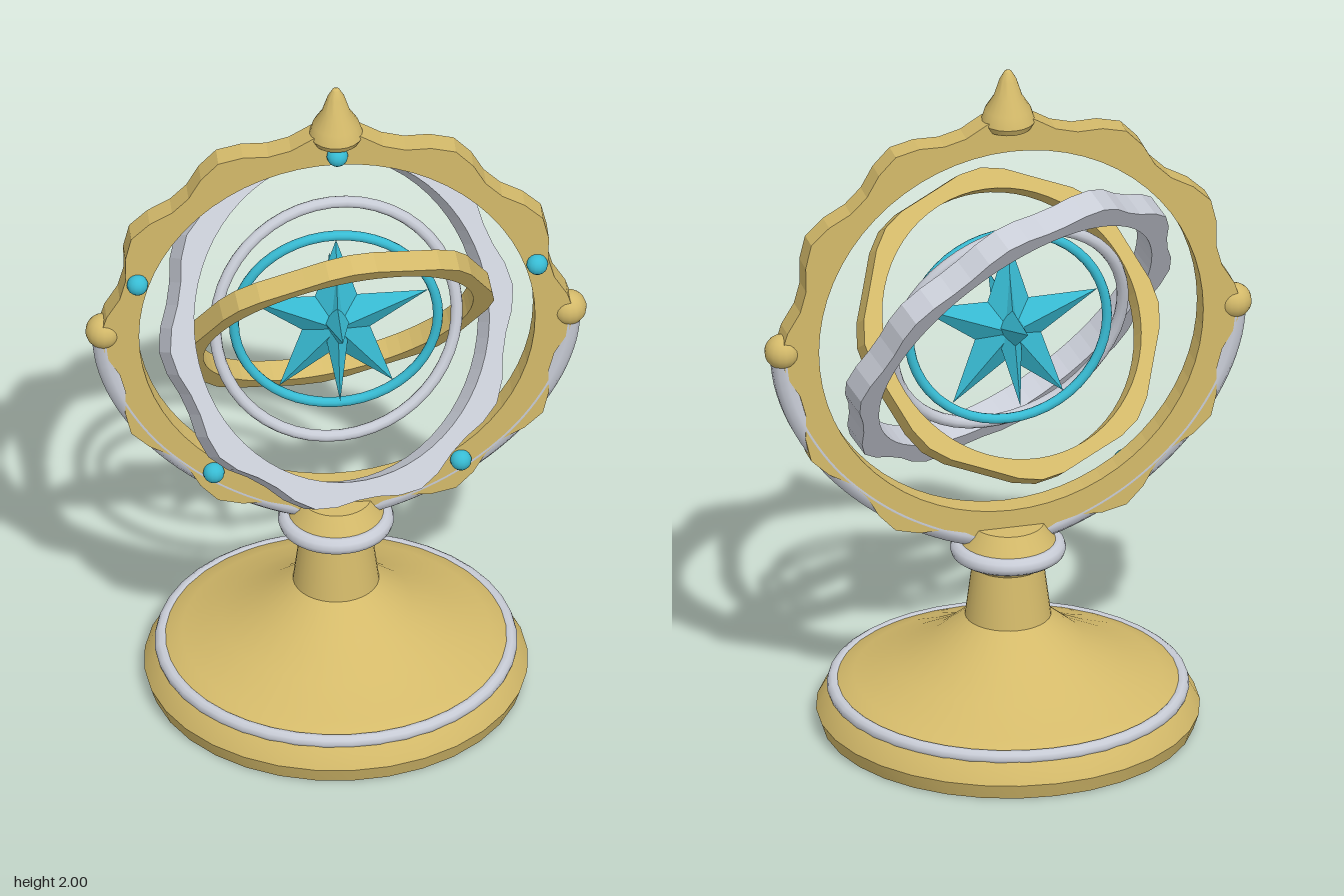
import * as THREE from 'three';
import { toCreasedNormals } from 'three/addons/utils/BufferGeometryUtils.js';

const CENTER = 1.21; // height of the ring centre

export function createModel() {
  const model = new THREE.Group();
  model.name = 'armillarySphere';

  const material = (name, color) => {
    const m = new THREE.MeshStandardMaterial({ color });
    m.name = name;
    return m;
  };
  const gold = material('gold', 0xd4ba6a);
  const silver = material('silver', 0xc8ccd6);
  const cyan = material('cyan', 0x38bcd4);

  const add = (name, geometry, mat, x = 0, y = 0, z = 0) => {
    const mesh = new THREE.Mesh(geometry, mat);
    mesh.name = name;
    mesh.position.set(x, y, z);
    model.add(mesh);
    return mesh;
  };
  const lathe = (points, segments) => toCreasedNormals(
    new THREE.LatheGeometry(points.map(([r, y]) => new THREE.Vector2(r, y)), segments), 0.6);
  const face = (mesh, x, y, z) => mesh.quaternion.setFromUnitVectors(
    new THREE.Vector3(0, 0, 1), new THREE.Vector3(x, y, z).normalize());

  // Flat band with a wavy rim and a round hole, centred on its own plane
  const wavyRing = (radius, wave, bumps, hole, depth) => {
    const rim = [];
    const steps = bumps * 5;
    for (let i = 0; i < steps; i++) {
      const a = (i / steps) * Math.PI * 2;
      const r = radius + wave * Math.cos(bumps * a);
      rim.push(new THREE.Vector2(r * Math.cos(a), r * Math.sin(a)));
    }
    const shape = new THREE.Shape(rim);
    shape.holes.push(new THREE.Path().absarc(0, 0, hole, 0, Math.PI * 2, true));
    return new THREE.ExtrudeGeometry(shape, { depth, bevelEnabled: false, curveSegments: 32 })
      .translate(0, 0, -depth / 2);
  };

  // Faceted star: raised centre on both sides
  const starGeometry = (outer, inner, thick) => {
    const corner = (i) => {
      const a = Math.PI / 2 + (i * Math.PI) / 5;
      const r = i % 2 ? inner : outer;
      return [r * Math.cos(a), r * Math.sin(a), 0];
    };
    const positions = [];
    for (let i = 0; i < 10; i++) {
      positions.push(0, 0, thick, ...corner(i), ...corner(i + 1));
      positions.push(0, 0, -thick, ...corner(i + 1), ...corner(i));
    }
    const g = new THREE.BufferGeometry();
    g.setAttribute('position', new THREE.Float32BufferAttribute(positions, 3));
    g.computeVertexNormals();
    return g;
  };

  // Pedestal and its trim
  add('pedestal', lathe([
    [0, 0], [0.52, 0], [0.535, 0.045], [0.505, 0.1], [0.48, 0.125], [0.43, 0.14], [0.32, 0.19],
    [0.21, 0.25], [0.12, 0.325], [0.1, 0.48], [0.12, 0.51], [0.135, 0.55], [0.1, 0.605], [0, 0.605],
  ], 32), gold);
  const trim = (name, radius, tube, y) => {
    add(name, new THREE.TorusGeometry(radius, tube, 10, 40), silver, 0, y).rotation.x = Math.PI / 2;
  };
  trim('baseTrim', 0.485, 0.02, 0.11);
  trim('neckTrim', 0.137, 0.025, 0.53);

  // Upright frame ring and finial
  add('frameRing', wavyRing(0.64, 0.024, 12, 0.553, 0.07), gold, 0, CENTER);
  add('finial', lathe([
    [0, 1.825], [0.065, 1.825], [0.076, 1.845], [0.065, 1.88],
    [0.04, 1.92], [0.024, 1.97], [0.01, 1.995], [0, 2],
  ], 20), gold);

  // Support arms and pivot balls, mirrored
  for (const s of [1, -1]) {
    const path = new THREE.CatmullRomCurve3(
      [[0.03, 0.57], [0.15, 0.6], [0.33, 0.69], [0.49, 0.83], [0.59, 0.98], [0.635, 1.1], [0.65, 1.2]]
        .map(([x, y]) => new THREE.Vector3(s * x, y, 0)));
    add(s > 0 ? 'leftArm' : 'rightArm', new THREE.TubeGeometry(path, 32, 0.036, 10), silver);
    add(s > 0 ? 'leftPivot' : 'rightPivot', new THREE.SphereGeometry(0.05, 16, 12), gold, s * 0.65, CENTER);
  }

  // Five beads on the front of the frame
  for (let i = 0; i < 5; i++) {
    const a = Math.PI / 2 + (i * Math.PI * 2) / 5;
    add('bead' + (i + 1), new THREE.SphereGeometry(0.03, 14, 10), cyan,
      0.587 * Math.cos(a), CENTER + 0.587 * Math.sin(a), 0.042);
  }

  // Tilted nested rings
  face(add('silverRing', wavyRing(0.52, 0.015, 10, 0.455, 0.075), silver, 0, CENTER), 0.36, 0.5, 0.78);
  face(add('goldRing', wavyRing(0.437, 0.01, 8, 0.385, 0.06), gold, 0, CENTER), 0.15, -0.57, 0.8);
  face(add('thinSilverRing', new THREE.TorusGeometry(0.345, 0.017, 10, 48), silver, 0, CENTER), 0.14, 0.27, 0.95);
  add('starRing', new THREE.TorusGeometry(0.285, 0.014, 10, 48), cyan, 0, CENTER);

  // Two crossed stars
  add('frontStar', starGeometry(0.27, 0.1, 0.05), cyan, 0, CENTER);
  add('crossStar', starGeometry(0.23, 0.085, 0.04), cyan, 0, CENTER).rotation.y = Math.PI / 2;

  return model;
}
